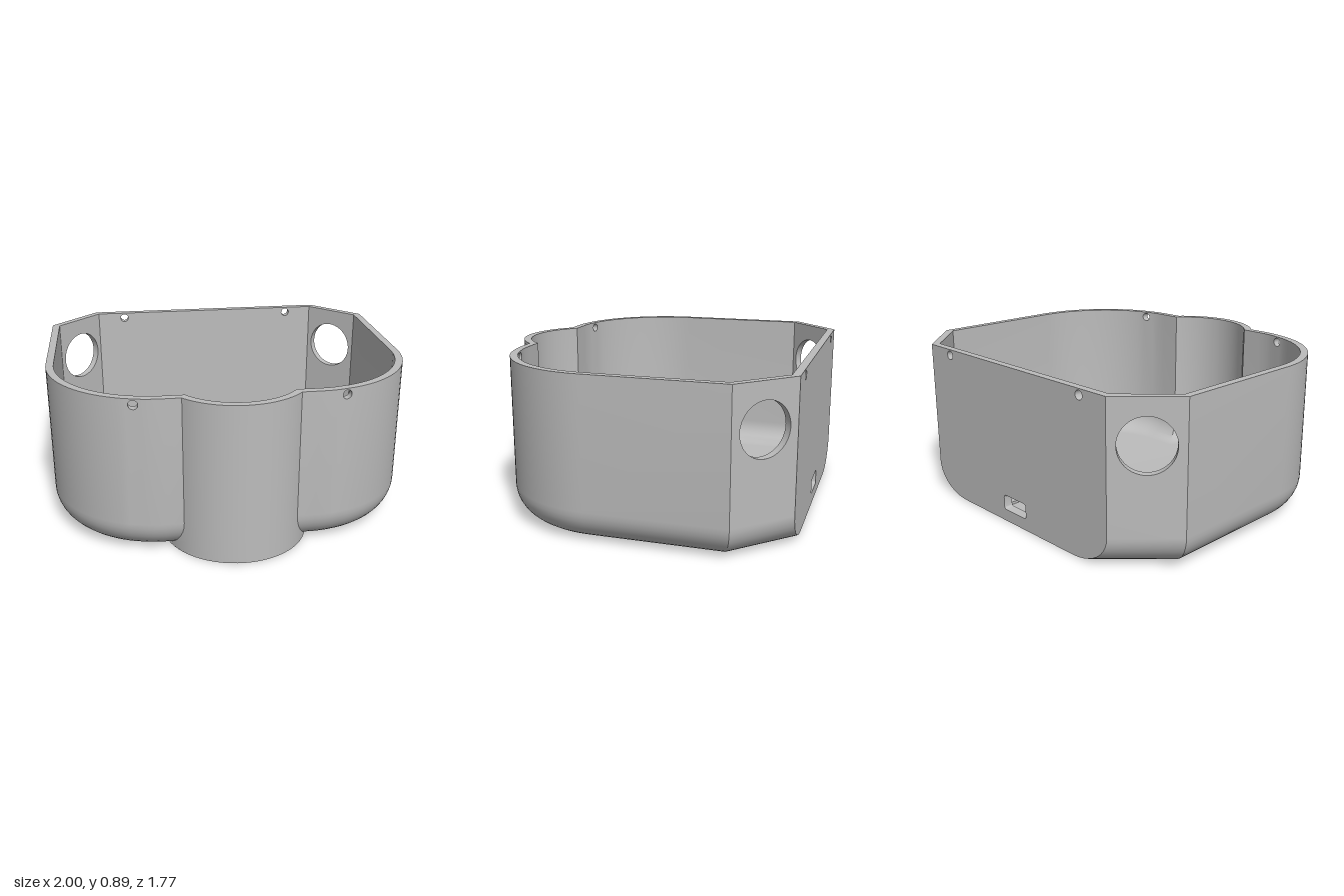
import * as THREE from 'three';
import { toCreasedNormals } from 'three/addons/utils/BufferGeometryUtils.js';

const H = 0.89, WALL = 0.0425, FILLET = 0.18, BACK = -0.885;
const FILLET_STEPS = 10, NOSE_STEPS = 14;

// Front corner angles; the wide 18-10 step is the flat patch that holds a screw hole
const ANGLES = [];
for (let a = 90; a >= 18; a -= 4) ANGLES.push(a);
ANGLES.push(10, 6, 2, 0);
const SCREW_SEG = 2 + ANGLES.indexOf(18);

// Plan outline inset by d: back corner, chamfer, side, front corner, nose, then mirrored
function ring(y, d, back, noseR) {
  const half = [[1.615 - d * Math.SQRT2 + back, back], [1 - d, -0.615 + d * (Math.SQRT2 - 1)]];
  for (const a of ANGLES) {
    const t = THREE.MathUtils.degToRad(a);
    half.push([0.4 + (0.6 - d) * Math.sin(t), 0.145 + (0.6 - d) * Math.cos(t)]);
  }
  const start = Math.acos((0.745 - d - 0.485) / noseR);
  for (let i = 0; i <= NOSE_STEPS; i++) {
    const t = start * (1 - i / NOSE_STEPS);
    half.push([noseR * Math.sin(t), 0.485 + noseR * Math.cos(t)]);
  }
  const all = half.concat(half.slice(0, -1).reverse().map(([x, z]) => [-x, z]));
  return all.map(([x, z]) => new THREE.Vector3(x, y, z));
}

// Rings from the bottom edge up through the fillet to the rim
function shellRings(inset, floor, radius, back, noseAt) {
  const rings = [];
  for (let i = 0; i <= FILLET_STEPS; i++) {
    const a = (i / FILLET_STEPS) * Math.PI / 2;
    const d = radius * (1 - Math.sin(a));
    rings.push(ring(floor + radius * (1 - Math.cos(a)), inset + d, back, noseAt(d)));
  }
  rings.push(ring(H, inset, back, noseAt(0)));
  return rings;
}

const tri = (out, a, b, c, flip) => out.push(a, flip ? c : b, flip ? b : c);

function quad(out, lo0, lo1, up0, up1, flip) {
  tri(out, lo0, up0, lo1, flip);
  tri(out, up0, up1, lo1, flip);
}

// Triangulates a flat outline with holes and places it in space
function fill(out, outline, holes, place, flip) {
  const shape = new THREE.Shape(outline);
  for (const h of holes) shape.holes.push(new THREE.Path(h));
  const g = new THREE.ShapeGeometry(shape);
  const p = g.attributes.position, idx = g.index.array;
  const v = (i) => place(p.getX(idx[i]), p.getY(idx[i]));
  for (let i = 0; i < idx.length; i += 3) tri(out, v(i), v(i + 1), v(i + 2), flip);
}

function ellipse(cx, cy, rx, ry, n) {
  return Array.from({ length: n }, (_, i) => {
    const t = (i / n) * Math.PI * 2;
    return new THREE.Vector2(cx + rx * Math.cos(t), cy + ry * Math.sin(t));
  });
}

function roundedSlot(cx, cy, w, h, r) {
  const pts = [];
  [[1, 1], [-1, 1], [-1, -1], [1, -1]].forEach(([sx, sy], q) => {
    for (let i = 0; i <= 4; i++) {
      const t = (q + i / 4) * Math.PI / 2;
      pts.push(new THREE.Vector2(cx + sx * (w / 2 - r) + r * Math.cos(t), cy + sy * (h / 2 - r) + r * Math.sin(t)));
    }
  });
  return pts;
}

// One skin of the tray; returns its triangles and the 3D loops of its openings
function skin(rings, outer) {
  const out = [], loops = [];
  const n = rings[0].length, wallRow = rings.length - 2;
  const panels = [0, SCREW_SEG, n - 2 - SCREW_SEG, n - 2];

  // Curved walls and fillet
  for (let r = 0; r <= wallRow; r++) {
    for (let k = 0; k < n - 1; k++) {
      if (r === wallRow && panels.includes(k)) continue;
      quad(out, rings[r][k], rings[r][k + 1], rings[r + 1][k], rings[r + 1][k + 1], !outer);
    }
  }

  // Flat patches with the round ports and front screw holes
  for (const k of panels) {
    const a = rings[wallRow][k], b = rings[wallRow][k + 1];
    const dir = b.clone().sub(a), len = dir.length();
    dir.normalize();
    const port = k === 0 || k === n - 2;
    const cu = port ? len / 2 : (Math.sign(a.x) * 0.545 - a.x) / dir.x;
    const hole = port ? ellipse(cu, 0.65, 0.145, 0.145, 48) : ellipse(cu, 0.857, 0.025 / Math.abs(dir.x), 0.025, 20);
    const place = (u, y) => new THREE.Vector3(a.x + dir.x * u, y, a.z + dir.z * u);
    const box = [[0, a.y], [len, a.y], [len, H], [0, H]].map(([u, y]) => new THREE.Vector2(u, y));
    fill(out, box, [hole], place, outer);
    loops.push(hole.map((p) => place(p.x, p.y)));
  }

  // Back wall with two screw holes and the cable slot
  const edge = rings.map((r) => new THREE.Vector2(r[0].x, r[0].y));
  const outline = edge.concat(edge.map((p) => new THREE.Vector2(-p.x, p.y)).reverse());
  const holes = [-0.545, 0.545].map((x) => ellipse(x, 0.857, 0.025, 0.025, 20));
  holes.push(outer ? roundedSlot(0, 0.11, 0.19, 0.085, 0.015) : roundedSlot(0, 0.11, 0.165, 0.062, 0.01));
  const placeBack = (x, y) => new THREE.Vector3(x, y, rings[0][0].z);
  fill(out, outline, holes, placeBack, outer);
  for (const h of holes) loops.push(h.map((p) => placeBack(p.x, p.y)));
  return { out, loops };
}

const plan = (pts) => pts.map((p) => new THREE.Vector2(p.x, p.z));
const level = (y) => (x, z) => new THREE.Vector3(x, y, z);

export function createModel() {
  const group = new THREE.Group();
  const grey = new THREE.MeshStandardMaterial({ color: 0xbcbcbc });
  grey.name = 'grey plastic';

  const add = (name, points) => {
    const g = toCreasedNormals(new THREE.BufferGeometry().setFromPoints(points), 0.5);
    const mesh = new THREE.Mesh(g, grey);
    mesh.name = name;
    group.add(mesh);
  };

  // The nose keeps a sharp bottom edge outside but is filleted inside
  const outerRings = shellRings(0, 0, FILLET, BACK, () => 0.4);
  const innerRings = shellRings(WALL, WALL, FILLET - WALL, BACK + WALL, (d) => 0.4 - WALL - d);
  const outer = skin(outerRings, true);
  const inner = skin(innerRings, false);

  // Underside and inner floor, the floor with a shallow board pocket
  fill(outer.out, plan(outerRings[0]), [], level(0), false);
  const pocket = [[-0.185, -0.835], [0.185, -0.835], [0.185, -0.615], [-0.185, -0.615]]
    .map(([x, z]) => new THREE.Vector2(x, z));
  fill(inner.out, plan(innerRings[0]), [pocket], level(WALL), true);
  add('outerShell', outer.out);
  add('innerShell', inner.out);

  const pocketFaces = [], pocketY = WALL - 0.015;
  fill(pocketFaces, pocket, [], level(pocketY), true);
  pocket.forEach((p, i) => {
    const q = pocket[(i + 1) % 4];
    const at = (c, y) => new THREE.Vector3(c.x, y, c.y);
    quad(pocketFaces, at(p, pocketY), at(q, pocketY), at(p, WALL), at(q, WALL), true);
  });
  add('boardPocket', pocketFaces);

  // Flat top rim between the two skins
  const rim = [];
  fill(rim, plan(outerRings.at(-1)), [plan(innerRings.at(-1))], level(H), true);
  add('rim', rim);

  // Bores joining each outer opening to its inner one
  const names = ['leftPort', 'leftFrontScrewHole', 'rightFrontScrewHole', 'rightPort',
    'rightBackScrewHole', 'leftBackScrewHole', 'cableSlot'];
  names.forEach((name, h) => {
    const a = outer.loops[h], b = inner.loops[h], bore = [];
    a.forEach((_, i) => {
      const j = (i + 1) % a.length;
      quad(bore, a[i], a[j], b[i], b[j], false);
    });
    add(name, bore);
  });
  return group;
}
